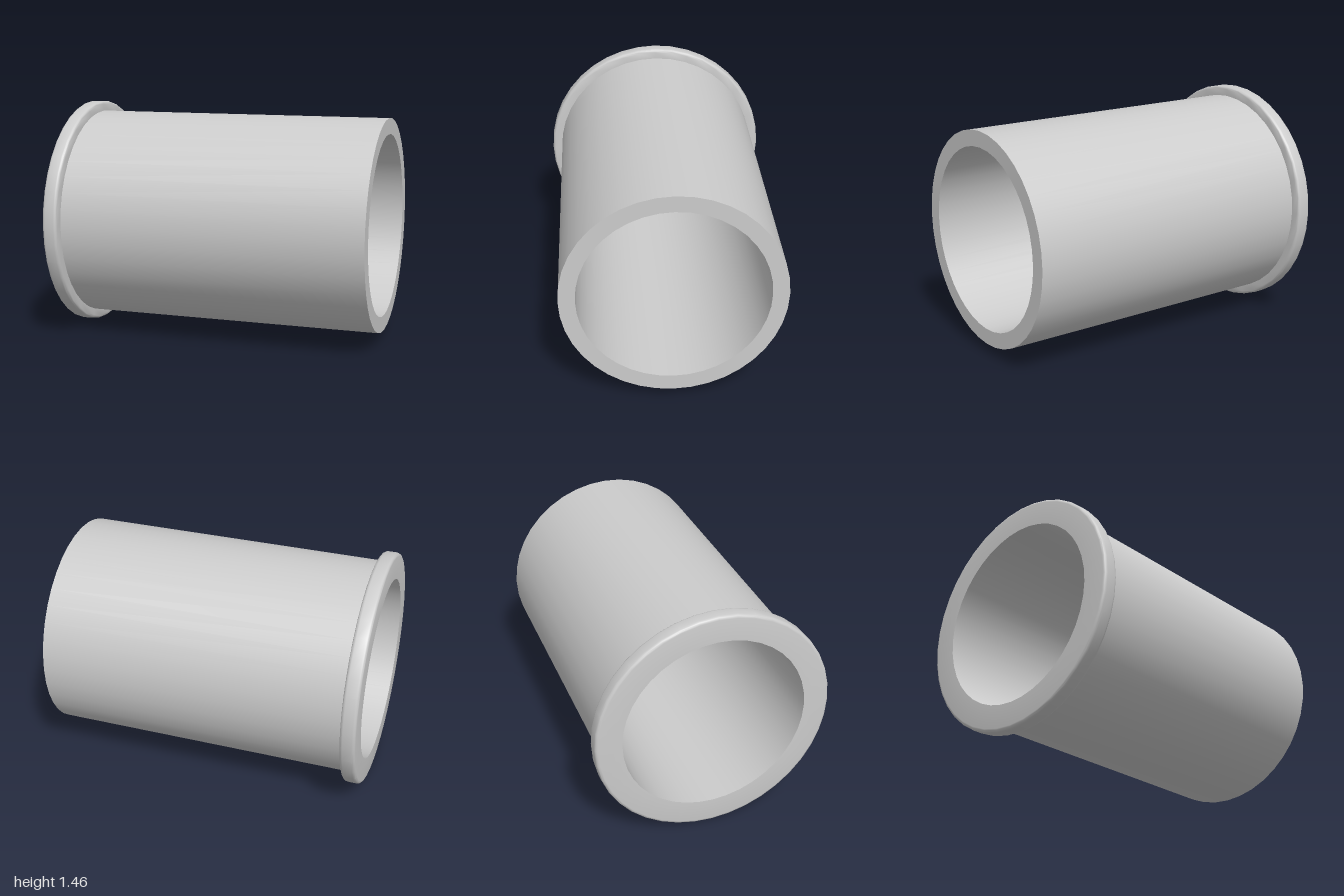
import * as THREE from 'three';
import { toCreasedNormals } from 'three/addons/utils/BufferGeometryUtils.js';

const SEGMENTS = 40;
const BORE = 0.568, TUBE = 0.667, FLANGE = 0.73; // radii
const LENGTH = 2, FLANGE_WIDTH = 0.095, FILLET = 0.02;

// Quarter-round points of the flange rim, from angle a0 to a0 + 90 degrees
function fillet(r, y, a0, steps = 4) {
  return Array.from({ length: steps + 1 }, (_, i) => {
    const a = a0 + (i / steps) * Math.PI / 2;
    return new THREE.Vector2(r + FILLET * Math.cos(a), y + FILLET * Math.sin(a));
  });
}

export function createModel() {
  const group = new THREE.Group();
  group.name = 'flangedBushing';

  // Closed wall section: flange face, rounded rim, shoulder, tube, open end, bore
  const y0 = -LENGTH / 2, y1 = LENGTH / 2, shoulder = y0 + FLANGE_WIDTH;
  const profile = [
    new THREE.Vector2(BORE, y0),
    ...fillet(FLANGE - FILLET, y0 + FILLET, -Math.PI / 2),
    ...fillet(FLANGE - FILLET, shoulder - FILLET, 0),
    new THREE.Vector2(TUBE, shoulder),
    new THREE.Vector2(TUBE, y1),
    new THREE.Vector2(BORE, y1),
    new THREE.Vector2(BORE, y0),
  ];

  // Turn the section, then lay its axis along x
  const geometry = new THREE.LatheGeometry(profile, SEGMENTS).rotateZ(-Math.PI / 2);
  const bushing = new THREE.Mesh(
    toCreasedNormals(geometry, 0.6),
    new THREE.MeshStandardMaterial({ color: 0xcccccc })
  );
  bushing.name = 'flangedSleeve';
  bushing.position.y = FLANGE;
  group.add(bushing);
  return group;
}
